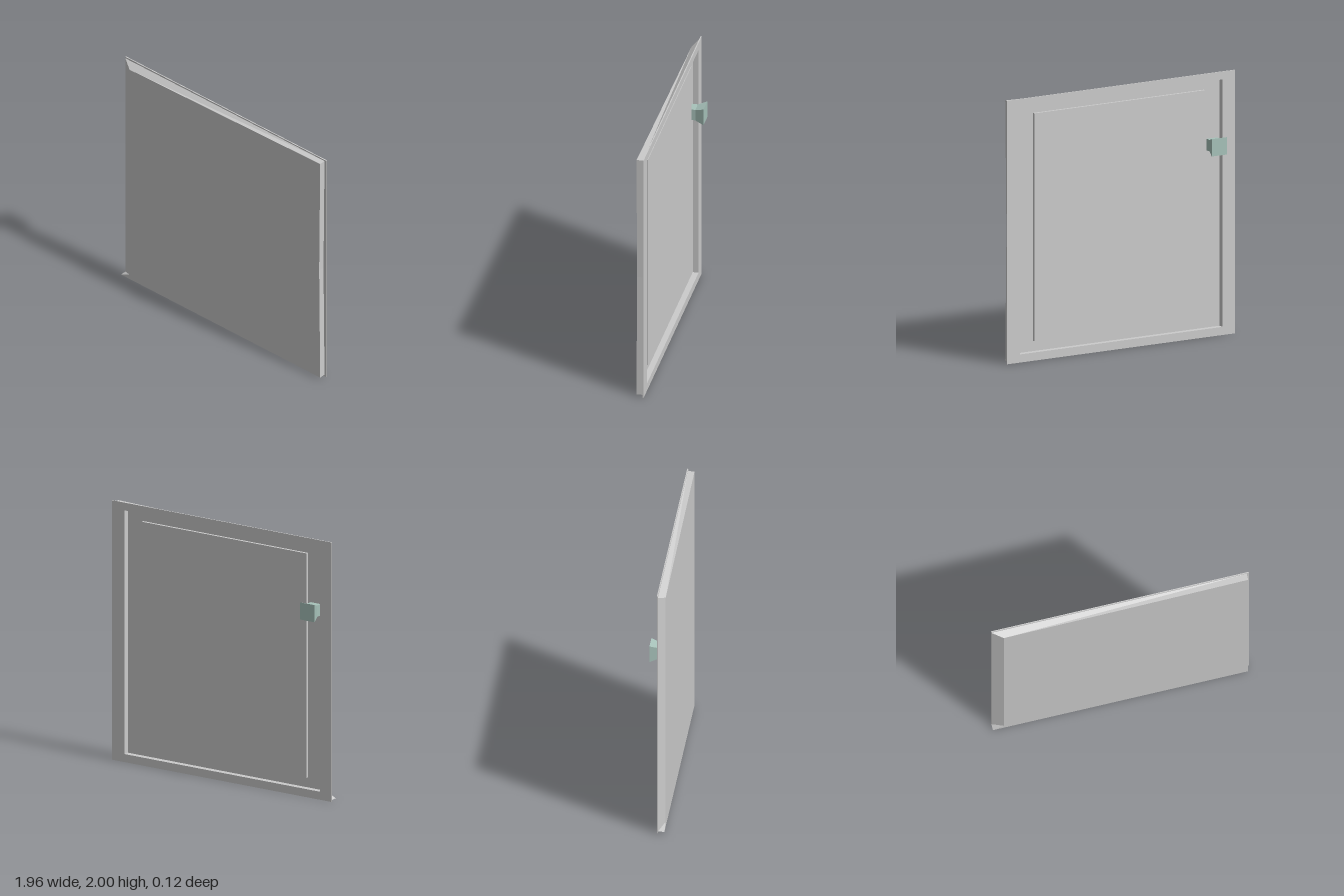
import * as THREE from 'three';

const grey = new THREE.MeshStandardMaterial({ color: 0xcccccc, flatShading: true, side: THREE.DoubleSide });
const green = new THREE.MeshStandardMaterial({ color: 0xa7c2ba, flatShading: true });

const FRONT = 0.061, SEAM = 0.012, BACK = 0.004, FLOOR = 0.048;

function add(parent, name, geometry, material = grey) {
  const mesh = new THREE.Mesh(geometry, material);
  mesh.name = name;
  parent.add(mesh);
  return mesh;
}

// Flat faces from corner loops, each fanned from its first corner
function faces(loops) {
  const pos = [];
  for (const l of loops)
    for (let i = 1; i < l.length - 1; i++) pos.push(...l[0], ...l[i], ...l[i + 1]);
  const g = new THREE.BufferGeometry();
  g.setAttribute('position', new THREE.Float32BufferAttribute(pos, 3));
  g.computeVertexNormals();
  return g;
}

function rect(Type, [x0, x1, y0, y1]) {
  return new Type([[x0, y0], [x1, y0], [x1, y1], [x0, y1]].map(p => new THREE.Vector2(...p)));
}

// Rectangular ring between two outlines, from z0 to z1
function ring(outer, inner, z0, z1) {
  const s = rect(THREE.Shape, outer);
  s.holes.push(rect(THREE.Path, inner));
  return new THREE.ExtrudeGeometry(s, { depth: z1 - z0, bevelEnabled: false }).translate(0, 0, z0);
}

function slab([x0, x1, y0, y1], z0, z1) {
  return new THREE.BoxGeometry(x1 - x0, y1 - y0, z1 - z0)
    .translate((x0 + x1) / 2, (y0 + y1) / 2, (z0 + z1) / 2);
}

export function createModel() {
  const door = new THREE.Group();
  door.name = 'door';

  // Front skin: wide bevel on one side, tapering bevel along the top
  const TL = [-0.897, 1.95, FRONT], BLi = [-0.897, 0.055, FRONT], BL = [-0.98, 0.015, FRONT];
  const BR = [0.963, 0.015, FRONT], MR = [0.953, 1, FRONT], TR = [0.963, 1.99, FRONT];
  const tl = [-0.98, 1.987, SEAM], back = p => [p[0], p[1], SEAM];
  const bl = back(BL), br = back(BR), mr = back(MR), tr = back(TR);
  add(door, 'frontSkin', faces([
    [BLi, BL, BR, MR, TR, TL],
    [TL, tl, bl, BLi], [BLi, bl, BL],
    [TL, TR, tr, tl],
    [BR, br, mr, MR], [MR, mr, tr, TR],
    [BL, bl, br, BR],
  ]));

  // Rear flange and the walls of its recess
  const opening = [-0.875, 0.87, 0.062, 1.94];
  add(door, 'rearFlange', ring([-0.98, 0.98, 0, 2], opening, BACK, SEAM));
  add(door, 'recessWalls', ring([-0.88, 0.875, 0.057, 1.945], opening, SEAM, FLOOR));
  add(door, 'recessFloor', slab([-0.88, 0.875, 0.057, 1.945], FLOOR, FLOOR + 0.005));
  add(door, 'raisedPanel', slab([-0.74, 0.73, 0.14, 1.87], 0.028, FLOOR));

  // Knob: square neck and flared head
  const knob = new THREE.Group();
  knob.name = 'knob';
  knob.position.set(-0.808, 1.45, 0);
  door.add(knob);
  add(knob, 'knobNeck', slab([-0.044, 0.044, -0.044, 0.044], 0, FLOOR), green);
  const head = slab([-1, 1, -1, 1], -0.063, 0.004);
  const p = head.attributes.position;
  for (let i = 0; i < p.count; i++) {
    const r = p.getZ(i) < 0 ? 0.066 : 0.044;
    p.setXY(i, p.getX(i) * r, p.getY(i) * r);
  }
  head.computeVertexNormals();
  add(knob, 'knobHead', head, green);

  return door;
}
